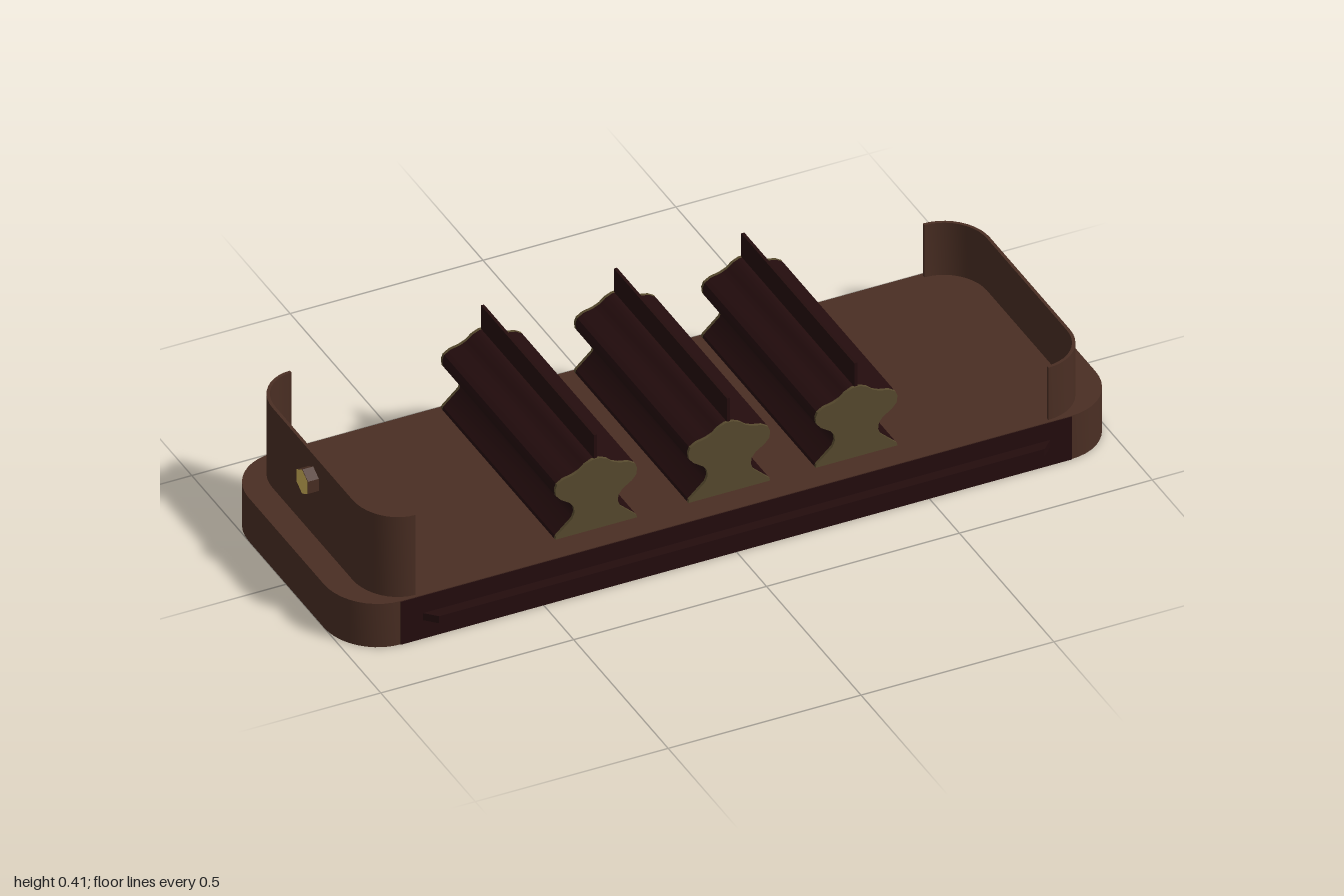
import * as THREE from 'three';
import { toCreasedNormals } from 'three/addons/utils/BufferGeometryUtils.js';

const material = (name, color) => Object.assign(new THREE.MeshStandardMaterial({ color }), { name });

export function createModel() {
  const model = new THREE.Group();
  model.name = 'benchedPlatform';
  const brown = material('brown wood', 0x4a2e23);
  const dark = material('dark maroon', 0x230c0d);
  const olive = material('olive plate', 0x574a2e);
  const gold = material('gold', 0xccae58);

  const add = (parent, name, geometry, mat, x = 0, y = 0, z = 0) => {
    const mesh = new THREE.Mesh(geometry, mat);
    mesh.name = name;
    mesh.position.set(x, y, z);
    parent.add(mesh);
    return mesh;
  };
  const extrude = (shape, depth) => toCreasedNormals(
    new THREE.ExtrudeGeometry(shape, { depth, bevelEnabled: false, curveSegments: 12 }), 0.5);
  // Plan shapes are drawn in x and z, then raised along y
  const raise = (shape, height) => extrude(shape, height).rotateX(-Math.PI / 2);

  // Rounded end in plan: arc from the front side round to the back side
  const endCurve = (x, z, rx, rz) => {
    const points = [];
    for (let i = 0; i <= 10; i++) {
      const a = -Math.PI / 2 + (i / 10) * Math.PI / 2;
      points.push(new THREE.Vector2(x - rx + rx * Math.cos(a), -z + rz + rz * Math.sin(a)));
    }
    return [...points, ...points.map(p => new THREE.Vector2(p.x, -p.y)).reverse()];
  };

  // Deck with rounded corners
  const right = endCurve(1, 0.34, 0.13, 0.14);
  const left = right.map(p => new THREE.Vector2(-p.x, -p.y));
  add(model, 'deck', raise(new THREE.Shape([...right, ...left]), 0.122), brown);

  // Dark side panels and tapered bumper rails
  for (const s of [1, -1]) {
    const side = s > 0 ? 'front' : 'back';
    add(model, side + 'SidePanel', new THREE.BoxGeometry(1.74, 0.12, 0.006), dark, 0, 0.06, s * 0.339);
    const rail = new THREE.Shape([
      new THREE.Vector2(-0.82, 0.335), new THREE.Vector2(0.82, 0.335),
      new THREE.Vector2(0.785, 0.37), new THREE.Vector2(-0.785, 0.37),
    ]);
    const mesh = add(model, side + 'Rail', raise(rail, 0.02), dark, 0, 0.052, 0);
    if (s > 0) mesh.rotation.y = Math.PI;
  }

  // Curved end walls, each with a hexagonal lamp
  const addEnd = (name, s, x, rx, height, lampY) => {
    const end = new THREE.Group();
    end.name = name;
    if (s < 0) end.rotation.y = Math.PI;
    const outer = endCurve(x, 0.332, rx, 0.12);
    const inner = endCurve(x - 0.008, 0.324, rx - 0.008, 0.112).reverse();
    add(end, 'endWall', raise(new THREE.Shape([...outer, ...inner]), height), brown, 0, 0.12, 0);
    const hexagon = depth => new THREE.CylinderGeometry(0.034, 0.034, depth, 6)
      .toNonIndexed().rotateZ(-Math.PI / 2).rotateX(Math.PI / 2);
    const body = hexagon(0.028);
    body.computeVertexNormals();
    add(end, 'lampBody', body, brown, x + 0.014, lampY, s * 0.004);
    const lens = new THREE.CircleGeometry(0.034, 6, Math.PI / 6).rotateY(Math.PI / 2);
    add(end, 'lampLens', lens, gold, x + 0.029, lampY, s * 0.004);
    model.add(end);
  };
  addEnd('leftEnd', 1, 0.928, 0.115, 0.149, 0.186);
  addEnd('rightEnd', -1, 0.932, 0.104, 0.227, 0.28);

  // Back-to-back bench profile, right half, mirrored about the middle
  const half = [
    [0.106, 0.146], [0.104, 0.154], [0.062, 0.192], [0.056, 0.208], [0.058, 0.224],
    [0.068, 0.238], [0.092, 0.254], [0.104, 0.268], [0.106, 0.286], [0.101, 0.299],
    [0.085, 0.309], [0.06, 0.314], [0.042, 0.322], [0.028, 0.334], [0.01, 0.342],
  ];
  const profile = new THREE.Shape([...half, ...half.map(([x, y]) => [-x, y]).reverse()]
    .map(([x, y]) => new THREE.Vector2(x, y)));
  const bodyGeometry = extrude(profile, 0.59).translate(0, 0, -0.295);
  const plateGeometry = extrude(profile, 0.008);

  [-0.345, 0, 0.33].forEach((x, i) => {
    const bench = new THREE.Group();
    bench.name = 'bench' + (i + 1);
    bench.position.x = x;
    add(bench, 'seats', bodyGeometry, dark);
    add(bench, 'backrest', new THREE.BoxGeometry(0.008, 0.075, 0.598), dark, 0, 0.37, 0);
    add(bench, 'frontEndPlate', plateGeometry, olive, 0, 0, 0.295);
    add(bench, 'backEndPlate', plateGeometry, olive, 0, 0, -0.303);
    model.add(bench);
  });
  return model;
}
